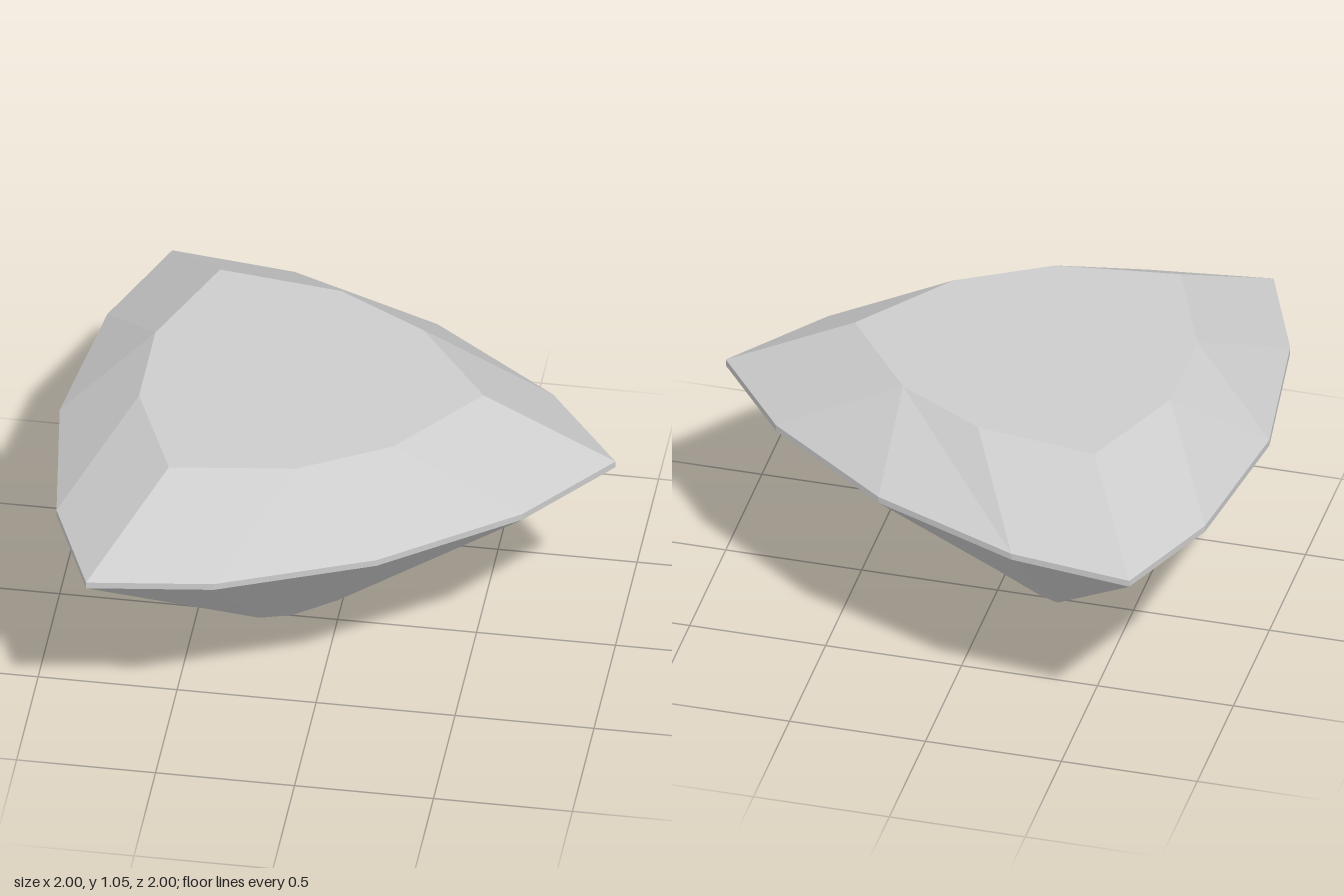
import * as THREE from 'three';

// Half outlines (z >= 0) as [x, z], running from the nose at +x round to -x
const GIRDLE = [[1, 0], [0.72, 0.36], [0.25, 0.71], [-0.3, 0.94], [-0.75, 1], [-0.92, 0.59], [-1, 0]];
const TABLE = [[0.525, 0], [0.255, 0.35], [-0.07, 0.535], [-0.515, 0.595], [-0.685, 0.19], [-0.685, 0]];
const CULET = [[0, 0], [-0.26, 0.145], [-0.26, 0]];

const ring = (outline, y) => outline.map(([x, z]) => [x, y, z]);

// Flat facets from convex polygons, mirrored across z = 0
function facets(name, polygons, material) {
  const positions = [];
  for (const polygon of polygons) {
    const mirrored = polygon.map(([x, y, z]) => [x, y, -z]).reverse();
    for (const p of [polygon, mirrored]) {
      for (let i = 1; i < p.length - 1; i++) positions.push(...p[0], ...p[i], ...p[i + 1]);
    }
  }
  const geometry = new THREE.BufferGeometry();
  geometry.setAttribute('position', new THREE.Float32BufferAttribute(positions, 3));
  geometry.computeVertexNormals();
  const mesh = new THREE.Mesh(geometry, material);
  mesh.name = name;
  return mesh;
}

export function createModel() {
  const model = new THREE.Group();
  model.name = 'cutGemstone';
  const stone = new THREE.MeshStandardMaterial({ color: 0xcccccc });
  stone.name = 'pale grey stone';

  const g = ring(GIRDLE, 0.815); // upper girdle edge
  const b = ring(GIRDLE, 0.79); // lower girdle edge
  const t = ring(TABLE, 1.055);
  const c = ring(CULET, 0.085);
  const tip = [-0.165, 0, 0];

  // Flat top
  model.add(facets('table', [[...t].reverse()], stone));

  // Sloping facets between the table and the girdle
  model.add(facets('crown', [
    [g[0], t[0], t[1], g[1]],
    [g[1], t[1], g[2]],
    [g[2], t[1], t[2], g[3]],
    [g[3], t[2], t[3], g[4]],
    [g[4], t[3], t[4], g[5]],
    [g[5], t[4], g[6]],
    [g[6], t[4], t[5]],
  ], stone));

  // Thin vertical band
  model.add(facets('girdle', g.slice(1).map((p, i) => [b[i], g[i], p, b[i + 1]]), stone));

  // Long facets narrowing to the base
  model.add(facets('pavilion', [
    [c[0], b[0], b[1]],
    [c[0], b[1], b[2]],
    [c[0], b[2], c[1]],
    [c[1], b[2], b[3]],
    [c[1], b[3], b[4]],
    [c[1], b[4], b[5]],
    [c[1], b[5], b[6]],
    [c[1], b[6], c[2]],
  ], stone));

  // Small pointed base
  model.add(facets('culet', [[tip, c[0], c[1]], [tip, c[1], c[2]]], stone));

  return model;
}
